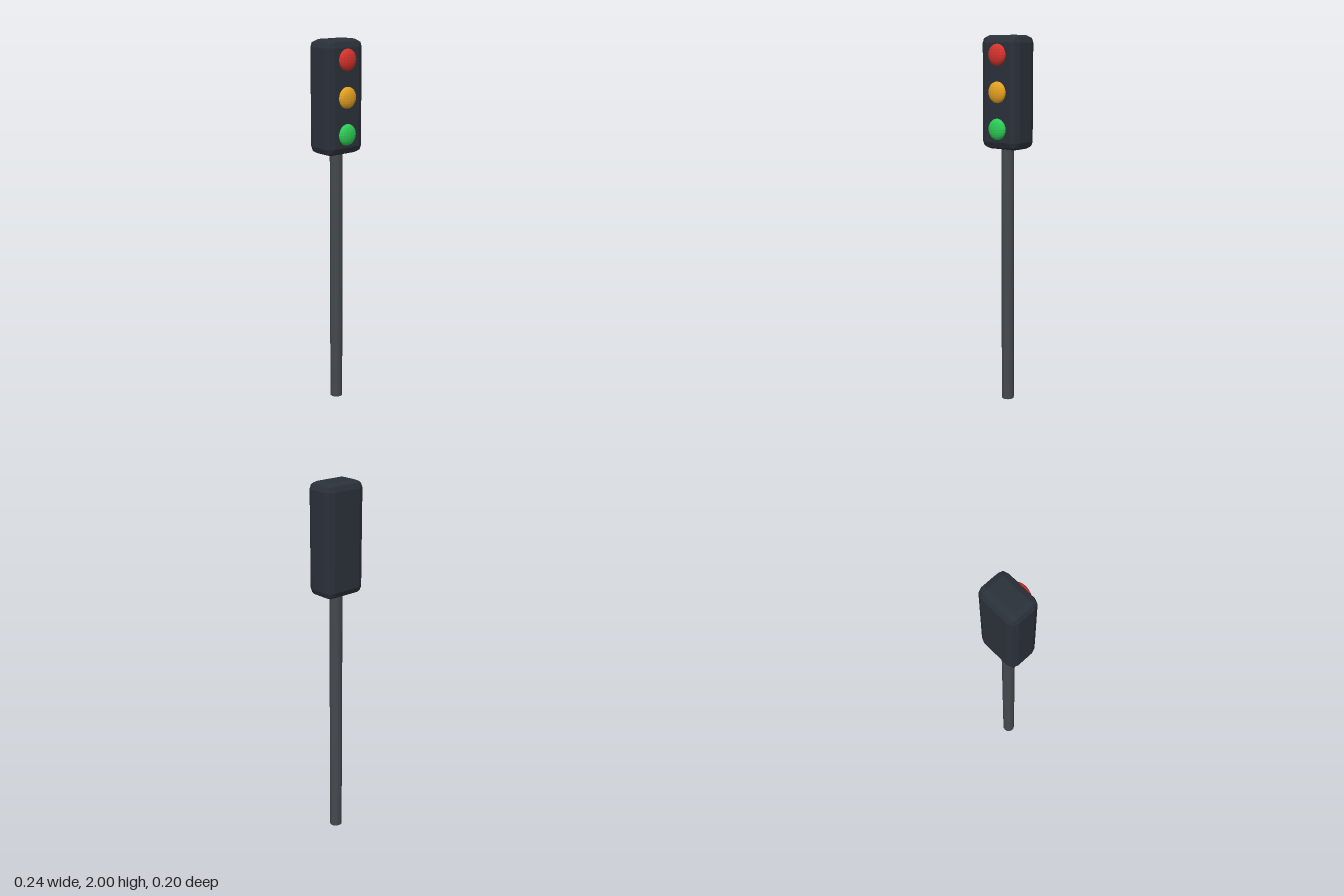
import * as THREE from 'three';
import { RoundedBoxGeometry } from 'three/addons/geometries/RoundedBoxGeometry.js';

const AXIS_Z = -0.014; // shared centre line of pole and housing

function part(name, geometry, color, y, z) {
  const material = new THREE.MeshStandardMaterial({ color });
  material.flatShading = true;
  const mesh = new THREE.Mesh(geometry, material);
  mesh.name = name;
  mesh.position.set(0, y, z);
  return mesh;
}

export function createModel() {
  const group = new THREE.Group();
  group.name = 'trafficLight';

  // Pole, running slightly into the housing
  const poleHeight = 1.45;
  group.add(part('pole', new THREE.CylinderGeometry(0.034, 0.034, poleHeight, 16), 0x44494d, poleHeight / 2, AXIS_Z));

  // Housing with two-step bevelled edges
  group.add(part('housing', new RoundedBoxGeometry(0.24, 0.59, 0.172, 1, 0.039), 0x2b313a, 1.705, AXIS_Z));

  // Three flattened domes on the front face
  const lamps = [
    ['redLamp', 0xd6332c, 1.9],
    ['amberLamp', 0xe5a220, 1.709],
    ['greenLamp', 0x2ecc55, 1.518],
  ];
  for (const [name, color, y] of lamps) {
    const dome = new THREE.SphereGeometry(0.056, 16, 12).scale(1, 1, 0.46);
    group.add(part(name, dome, color, y, 0.073));
  }
  return group;
}
